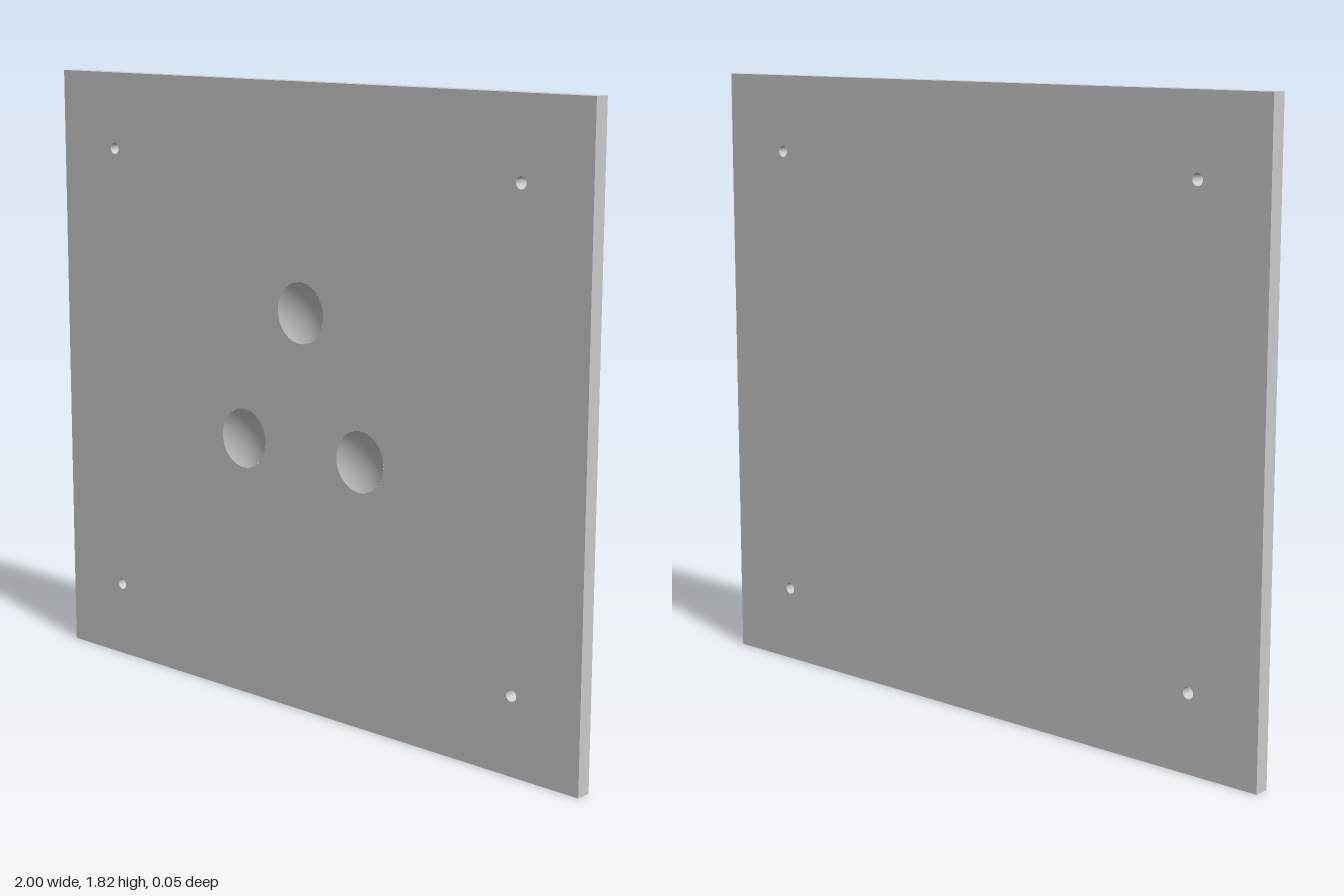
import * as THREE from 'three';

const W = 2, H = 1.818, T = 0.0455;           // plate size
const HOLE_R = 0.017, SEAT_R = 0.088, SEAT_DEPTH = 0.0227;
const SEGMENTS = 48;
const screwHoles = [[-0.773, 0.227], [0.773, 0.227], [-0.773, 1.591], [0.773, 1.591]];
const ballSeats = [[0, 1.172], [-0.227, 0.778], [0.227, 0.778]];

const grey = new THREE.MeshStandardMaterial({ color: 0xcccccc });
const greyInside = new THREE.MeshStandardMaterial({ color: 0xcccccc, side: THREE.DoubleSide });

function addMesh(parent, name, geometry, material = grey) {
  const mesh = new THREE.Mesh(geometry, material);
  mesh.name = name;
  parent.add(mesh);
  return mesh;
}

// Rectangle pierced by round openings, given as [x, y, radius]
function piercedFace(openings) {
  const shape = new THREE.Shape();
  shape.moveTo(-W / 2, 0).lineTo(W / 2, 0).lineTo(W / 2, H).lineTo(-W / 2, H).closePath();
  for (const [x, y, r] of openings) {
    shape.holes.push(new THREE.Path().absarc(x, y, r, 0, Math.PI * 2, true));
  }
  return new THREE.ShapeGeometry(shape, SEGMENTS);
}

export function createModel() {
  const model = new THREE.Group();
  model.name = 'mountingPlate';

  // Front and back faces
  const screws = screwHoles.map(([x, y]) => [x, y, HOLE_R]);
  const seats = ballSeats.map(([x, y]) => [x, y, SEAT_R]);
  addMesh(model, 'frontFace', piercedFace([...screws, ...seats])).position.z = T / 2;
  const back = addMesh(model, 'backFace', piercedFace(screws));
  back.rotation.y = Math.PI;
  back.position.z = -T / 2;

  // Four narrow edges
  for (const s of [-1, 1]) {
    const side = addMesh(model, s > 0 ? 'leftEdge' : 'rightEdge', new THREE.PlaneGeometry(T, H));
    side.rotation.y = s * Math.PI / 2;
    side.position.set(s * W / 2, H / 2, 0);
    const end = addMesh(model, s > 0 ? 'topEdge' : 'bottomEdge', new THREE.PlaneGeometry(W, T));
    end.rotation.x = -s * Math.PI / 2;
    end.position.y = s > 0 ? H : 0;
  }

  // Walls of the through holes
  const wall = new THREE.CylinderGeometry(HOLE_R, HOLE_R, T, SEGMENTS, 1, true).rotateX(Math.PI / 2);
  for (const [x, y] of screwHoles) {
    addMesh(model, 'screwHole', wall, greyInside).position.set(x, y, 0);
  }

  // Shallow spherical seats sunk into the front
  const R = (SEAT_R ** 2 + SEAT_DEPTH ** 2) / (2 * SEAT_DEPTH);
  const angle = Math.asin(SEAT_R / R);
  const bowl = new THREE.SphereGeometry(R, SEGMENTS, 12, 0, Math.PI * 2, Math.PI - angle, angle)
    .rotateX(Math.PI / 2);
  for (const [x, y] of ballSeats) {
    addMesh(model, 'ballSeat', bowl, greyInside).position.set(x, y, T / 2 + R - SEAT_DEPTH);
  }

  return model;
}
